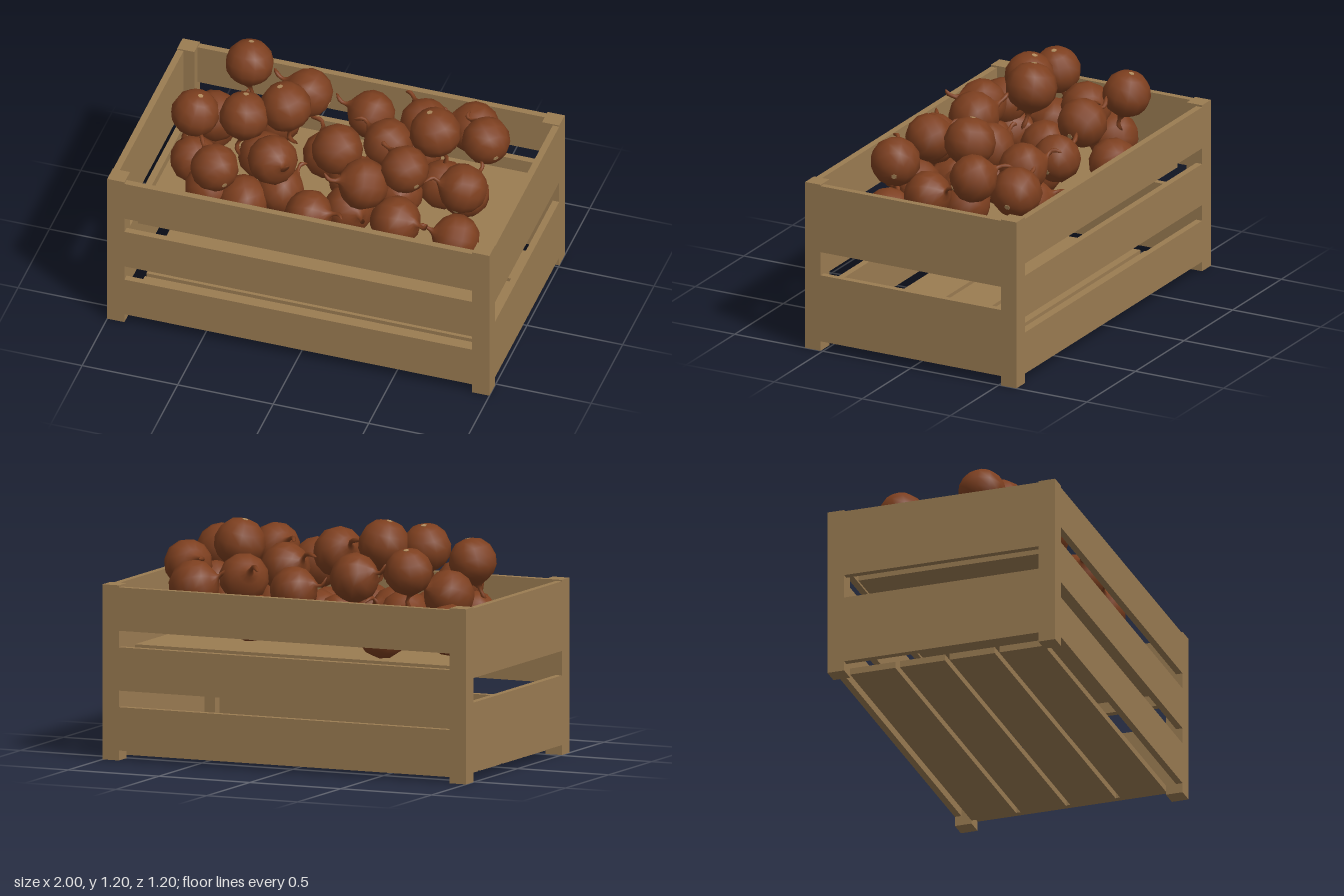
import * as THREE from 'three';

const wood = new THREE.MeshStandardMaterial({ color: 0x9b7c52 });
wood.name = 'wood';
const skin = new THREE.MeshStandardMaterial({ color: 0x7d3f1f });
skin.name = 'onion skin';
const rootTan = new THREE.MeshStandardMaterial({ color: 0xb08a5c });
rootTan.name = 'root tan';

// Box given by its limits on each axis
function board(parent, name, x0, x1, y0, y1, z0, z1) {
  const mesh = new THREE.Mesh(new THREE.BoxGeometry(x1 - x0, y1 - y0, z1 - z0), wood);
  mesh.position.set((x0 + x1) / 2, (y0 + y1) / 2, (z0 + z1) / 2);
  mesh.name = name;
  parent.add(mesh);
}

// Round bulb with a short neck and a thin, curled dry stem
function bulbGeometry() {
  const profile = [
    [0, -0.94], [0.2, -0.93], [0.55, -0.82], [0.86, -0.5], [1, -0.06], [0.95, 0.34],
    [0.74, 0.66], [0.42, 0.87], [0.17, 1], [0.08, 1.14], [0.08, 1.3], [0.1, 1.45],
    [0.08, 1.58], [0, 1.68],
  ].map(([r, y]) => new THREE.Vector2(r, y));
  const geo = new THREE.LatheGeometry(profile, 12);
  const p = geo.attributes.position;
  for (let i = 0; i < p.count; i++) {
    const t = Math.max(0, p.getY(i) - 1);
    p.setX(i, p.getX(i) + 0.2 * Math.sin(t * 5));
    p.setZ(i, p.getZ(i) + 0.4 * t * t);
  }
  return geo;
}

// Loose onions on top: centre x, y, z and heading of the stem in degrees
const UPPER = [
  [-0.57, 1.01, -0.36, 90], [-0.24, 0.95, -0.29, 185], [-0.66, 0.86, -0.08, -45],
  [-0.7, 1.01, 0.11, 180], [-0.44, 1.06, 0.12, 90], [-0.26, 1.08, 0.01, 0],
  [-0.53, 0.86, 0.32, -135], [-0.24, 0.95, 0.28, 45], [0.06, 1, 0.16, -145],
  [0.08, 0.87, -0.32, 178], [0.37, 0.91, -0.29, -130], [0.6, 0.87, -0.38, 175],
  [0.72, 0.95, -0.2, -135], [0.26, 0.94, -0.04, -160], [0.5, 1.05, -0.06, 0],
  [0.43, 1, 0.21, -140], [0.74, 0.97, 0.23, 155], [0.24, 0.92, 0.29, 150],
  [0.7, 0.81, 0.07, -80],
];
// Layer on the tray: centre x, z and heading of the stem in degrees
const LOWER = [
  [-0.43, -0.36, -50], [-0.72, -0.2, 20], [-0.09, -0.13, 70], [-0.38, 0, -130],
  [-0.38, 0.32, -20], [-0.03, 0.34, 12], [0.33, -0.3, -120], [0.41, 0.3, 15],
  [0.72, 0.28, 160], [0.09, 0, -70], [0.34, 0.05, 70], [-0.7, 0.13, 50],
  [0.14, 0.22, 45], [-0.56, 0.3, -90], [-0.22, 0.22, -60], [0.54, -0.06, 60],
];

export function createModel() {
  const model = new THREE.Group();
  model.name = 'crate of onions';

  const crate = new THREE.Group();
  crate.name = 'crate';
  model.add(crate);

  for (const s of [-1, 1]) {
    const span = (a, b) => (s > 0 ? [a, b] : [-b, -a]);
    // Corner posts
    for (const x of [-0.955, 0.955]) {
      board(crate, 'cornerPost', x - 0.045, x + 0.045, 0, 0.88, ...span(0.512, 0.6));
    }
    // Three slats on each long wall
    for (const y of [0.05, 0.351, 0.652]) {
      board(crate, 'longSlat', -0.91, 0.91, y, y + 0.218, ...span(0.566, 0.6));
    }
    // Two wide slats on each end wall
    for (const y of [0.05, 0.523]) {
      board(crate, 'endSlat', ...span(0.966, 1), y, y + 0.35, -0.512, 0.512);
    }
  }

  // Bottom planks
  for (let i = 0; i < 4; i++) {
    const z = -0.512 + i * 0.262;
    board(crate, 'bottomPlank', -0.91, 0.91, 0.017, 0.05, z, z + 0.238);
  }

  // Raised tray that carries the onions
  board(crate, 'tray', -0.88, 0.88, 0.54, 0.57, -0.478, 0.478);

  // Onion pile
  const bulb = bulbGeometry();
  const disc = new THREE.CylinderGeometry(0.12, 0.12, 0.04, 6);
  const pile = new THREE.Group();
  pile.name = 'onionPile';
  model.add(pile);
  const up = new THREE.Vector3(0, 1, 0);
  const layer = LOWER.map(([x, z, heading], i) => [x, 0.69 + 0.015 * (i % 4), z, heading]);
  [...UPPER, ...layer].forEach(([x, y, z, heading], i) => {
    const onion = new THREE.Group();
    onion.name = 'onion';
    const body = new THREE.Mesh(bulb, skin);
    body.name = 'bulb';
    body.rotation.y = i * 2.4;
    const root = new THREE.Mesh(disc, rootTan);
    root.name = 'rootEnd';
    root.position.y = -0.93;
    onion.add(body, root);
    onion.position.set(x, y, z);
    // The highest onions lie root up, the others on their sides
    const turn = THREE.MathUtils.degToRad(heading);
    const lift = y > 1.005 ? -4 : 0.35;
    onion.quaternion.setFromUnitVectors(
      up, new THREE.Vector3(Math.cos(turn), lift, Math.sin(turn)).normalize());
    onion.scale.setScalar(0.122 + 0.004 * (i % 3));
    pile.add(onion);
  });

  return model;
}
